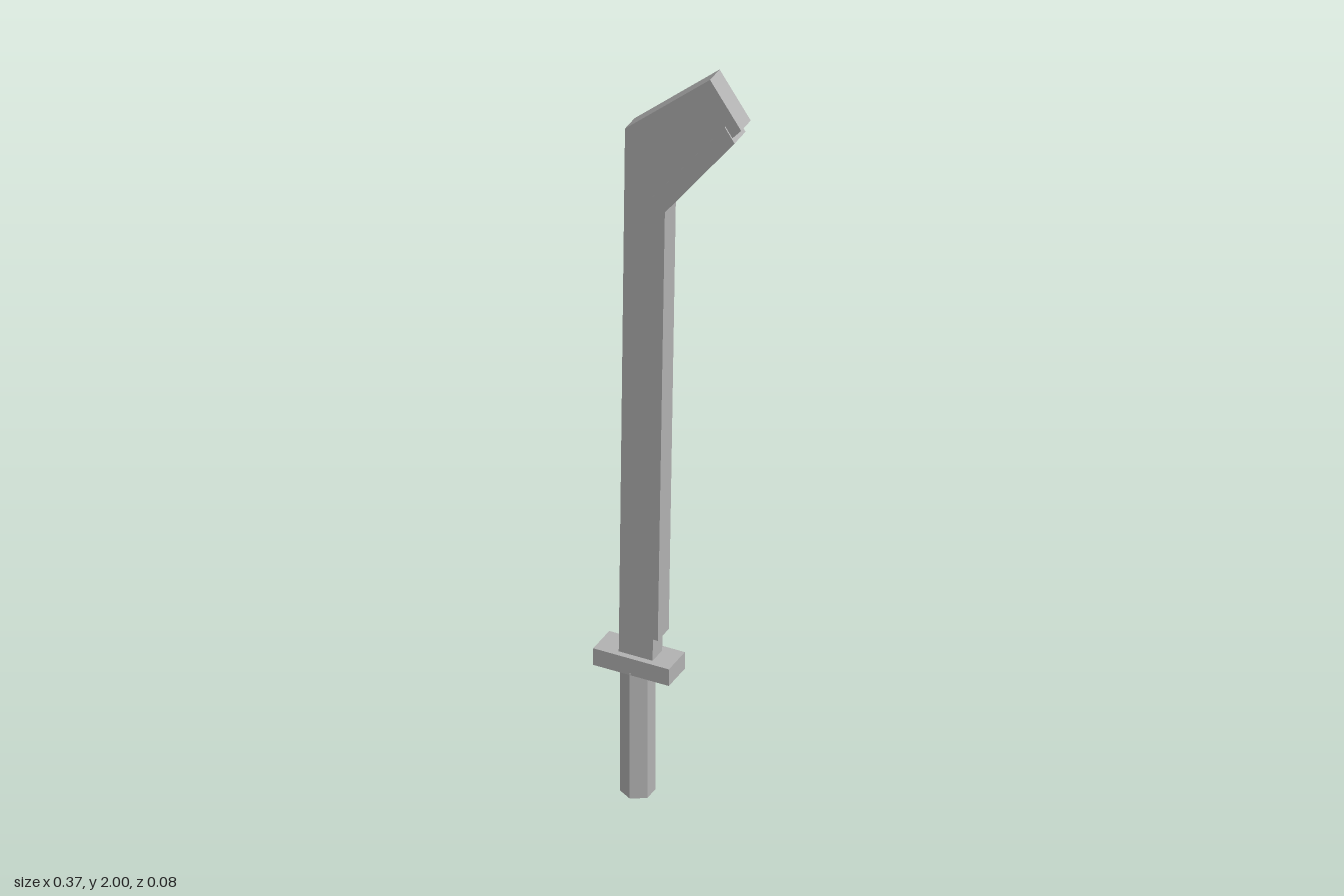
import * as THREE from 'three';

const steel = new THREE.MeshStandardMaterial({ color: 0xb2b2b2, flatShading: true });
steel.name = 'grey steel';

// Flat plate cut from an outline, centred on z = 0
function plate(name, points, depth) {
  const shape = new THREE.Shape(points.map(([x, y]) => new THREE.Vector2(x, y)));
  const geometry = new THREE.ExtrudeGeometry(shape, { depth, bevelEnabled: false });
  geometry.translate(0, 0, -depth / 2);
  const mesh = new THREE.Mesh(geometry, steel);
  mesh.name = name;
  return mesh;
}

export function createModel() {
  const model = new THREE.Group();
  model.name = 'sword';

  // Hexagonal grip with corners towards front and back
  const grip = new THREE.Mesh(new THREE.CylinderGeometry(0.04, 0.04, 0.34, 6), steel);
  grip.name = 'grip';
  grip.position.set(-0.092, 0.17, 0);

  // Crossguard
  const guard = new THREE.Mesh(new THREE.BoxGeometry(0.192, 0.045, 0.08), steel);
  guard.name = 'guard';
  guard.position.set(-0.089, 0.357, -0.001);

  // Long blade with a bent, square-cut tip
  const blade = plate('blade', [
    [-0.128, 0.37], [-0.042, 0.37], [-0.025, 1.635],
    [0.183, 1.885], [0.104, 2.0], [-0.112, 1.803],
  ], 0.048);

  // Slightly thicker cutting edge that follows the bend
  const edge = plate('cuttingEdge', [
    [-0.027, 0.44], [-0.009, 1.608], [0.168, 1.848],
    [0.143, 1.885], [-0.041, 1.64], [-0.049, 0.44],
  ], 0.055);

  model.add(grip, guard, blade, edge);
  return model;
}
